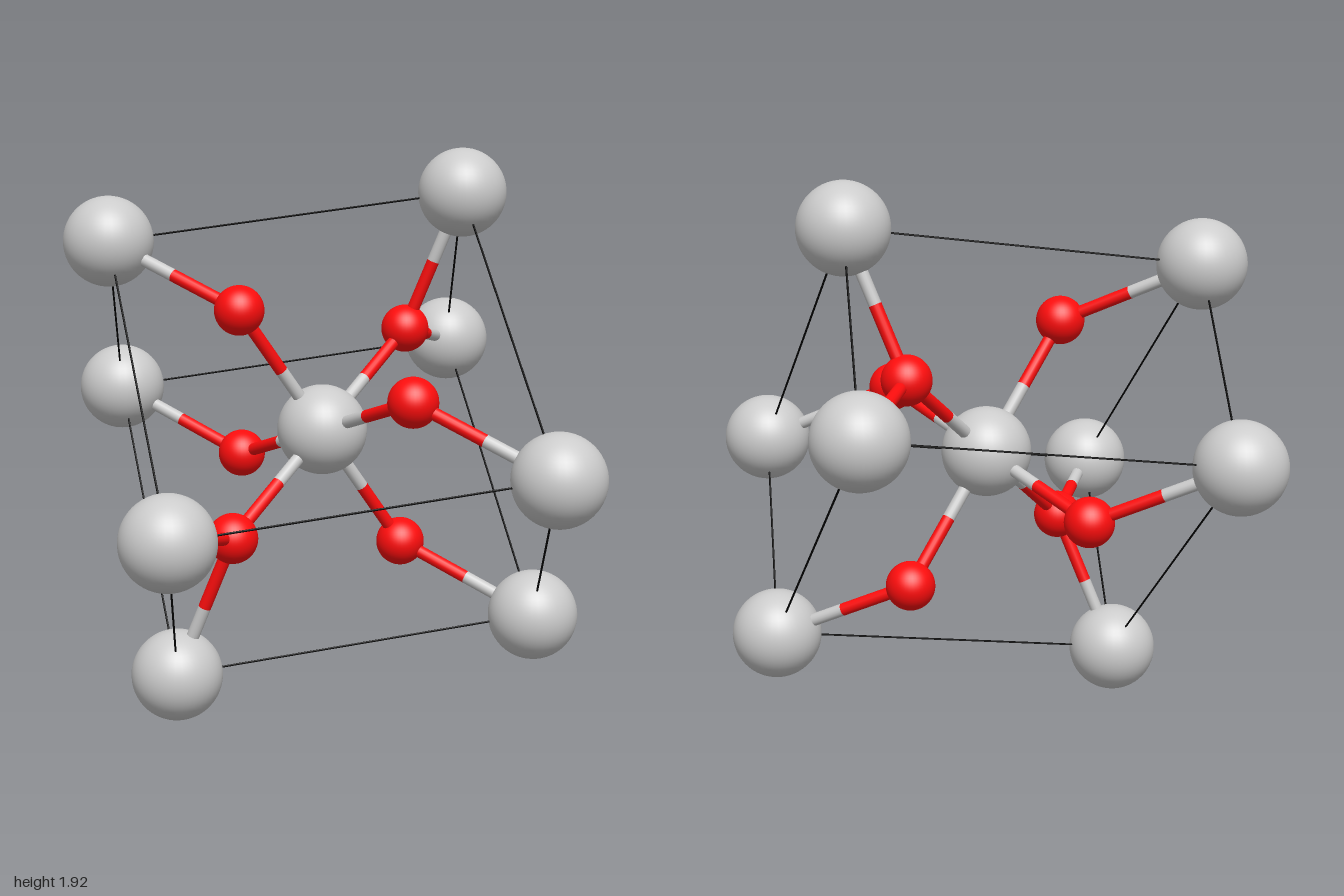
import * as THREE from 'three';

const V = (x, y, z) => new THREE.Vector3(x, y, z);
const grey = new THREE.MeshStandardMaterial({ color: 0xcccccc });
const red = new THREE.MeshStandardMaterial({ color: 0xff0d0d });
const black = new THREE.MeshStandardMaterial({ color: 0x000000 });

const METAL_RADIUS = 0.156, OXYGEN_RADIUS = 0.085;
const BOND_RADIUS = 0.022, EDGE_RADIUS = 0.0035;

function ball(name, position, radius, material) {
  const mesh = new THREE.Mesh(new THREE.SphereGeometry(radius, 40, 28), material);
  mesh.position.copy(position);
  mesh.name = name;
  return mesh;
}

// Cylinder running from one point to another
function rod(name, from, to, radius, material, sides) {
  const dir = to.clone().sub(from);
  const mesh = new THREE.Mesh(new THREE.CylinderGeometry(radius, radius, dir.length(), sides), material);
  mesh.position.copy(from).add(to).multiplyScalar(0.5);
  mesh.quaternion.setFromUnitVectors(V(0, 1, 0), dir.normalize());
  mesh.name = name;
  return mesh;
}

export function createModel() {
  const model = new THREE.Group();
  model.name = 'crystalCell';
  model.position.y = 0.965;

  // Cell axes; a corner is a signed half-sum of all three
  const axes = [V(1.227, 0.158, 0.224), V(-0.178, 0.586, 0.546), V(0.053, 0.868, -0.912)];
  const corner = (...signs) =>
    axes.reduce((sum, axis, i) => sum.addScaledVector(axis, signs[i] / 2), V(0, 0, 0));

  // Metal atoms: the centre and the eight corners
  const centre = V(0, 0, 0);
  model.add(ball('centreMetalAtom', centre, METAL_RADIUS, grey));
  for (const i of [-1, 1]) for (const j of [-1, 1]) for (const k of [-1, 1])
    model.add(ball('cornerMetalAtom', corner(i, j, k), METAL_RADIUS, grey));

  // Twelve thin cell edges, four along each axis
  for (let axis = 0; axis < 3; axis++)
    for (const p of [-1, 1]) for (const q of [-1, 1]) {
      const start = [p, q], end = [p, q];
      start.splice(axis, 0, -1);
      end.splice(axis, 0, 1);
      model.add(rod('cellEdge', corner(...start), corner(...end), EDGE_RADIUS, black, 6));
    }

  // Oxygen atoms with the corners they bond to; each is repeated through the centre
  const oxygens = [
    { at: V(-0.316, 0.431, 0.055), corners: [[-1, 1, 1]] },
    { at: V(0.392, 0.315, -0.209), corners: [[1, 1, 1], [1, -1, 1]] },
    { at: V(0.137, 0.157, 0.495), corners: [[1, 1, -1]] },
  ];
  for (const { at, corners } of oxygens)
    for (const s of [-1, 1]) {
      const oxygen = at.clone().multiplyScalar(s);
      model.add(ball('oxygenAtom', oxygen, OXYGEN_RADIUS, red));
      const metals = [centre, ...corners.map(c => corner(...c).multiplyScalar(s))];
      // Bonds are red on the oxygen half and grey on the metal half
      for (const metal of metals) {
        const middle = oxygen.clone().lerp(metal, 0.5);
        model.add(rod('oxygenHalfBond', oxygen, middle, BOND_RADIUS, red, 16));
        model.add(rod('metalHalfBond', middle, metal, BOND_RADIUS, grey, 16));
      }
    }

  const root = new THREE.Group();
  root.name = 'model';
  root.add(model);
  return root;
}
